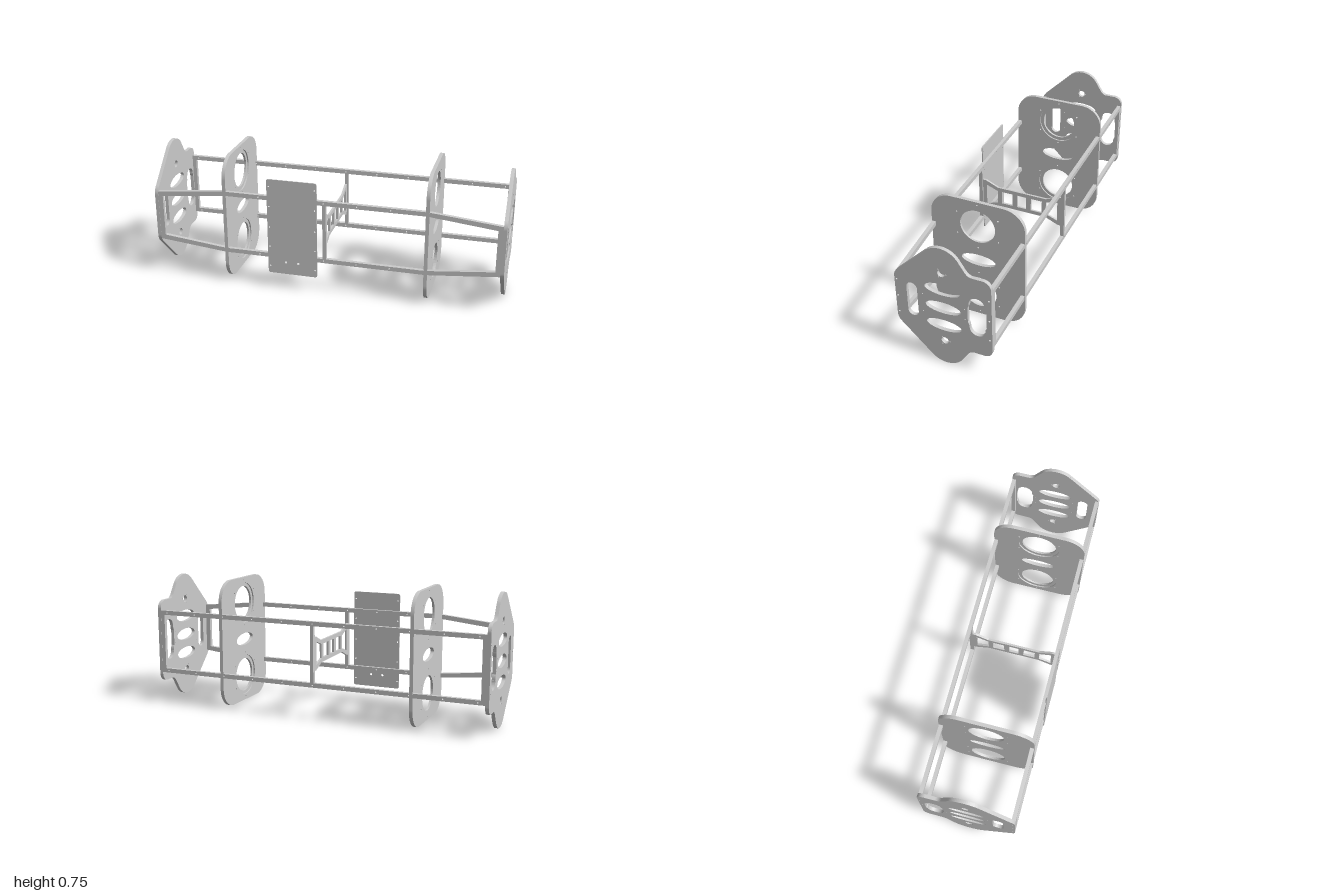
import * as THREE from 'three';

const MID = 0.374, TOP = 0.747, HALF = 0.267;
const mat = new THREE.MeshStandardMaterial({ color: 0xcccccc, side: THREE.DoubleSide });

function ellipse(x, y, rx, ry = rx) {
  const p = new THREE.Path();
  p.absellipse(x, y, rx, ry, 0, Math.PI * 2, true);
  return p;
}

function polygon(points) {
  return new THREE.Path(points.map(([x, y]) => new THREE.Vector2(x, y)));
}

function rect(x0, x1, y0, y1) {
  return polygon([[x0, y0], [x0, y1], [x1, y1], [x1, y0]]);
}

function roundedRect(x0, x1, y0, y1, r, Type = THREE.Shape) {
  const s = new Type(), q = Math.PI / 2;
  s.absarc(x1 - r, y1 - r, r, 0, q);
  s.absarc(x0 + r, y1 - r, r, q, 2 * q);
  s.absarc(x0 + r, y0 + r, r, 2 * q, 3 * q);
  s.absarc(x1 - r, y0 + r, r, 3 * q, 4 * q);
  s.closePath();
  return s;
}

// Takes the upper half of an outline and adds its reflection below mid height
function mirrored(half, Type) {
  const pts = half.getPoints(10);
  const low = pts.map(p => new THREE.Vector2(p.x, 2 * MID - p.y)).reverse();
  return new Type([...pts, ...low]);
}

function extrude(shape, depth) {
  const g = new THREE.ExtrudeGeometry(shape, { depth, bevelEnabled: false, curveSegments: 20 });
  return g.translate(0, 0, -depth / 2);
}

function add(group, name, geometry, x = 0, y = 0, z = 0) {
  const m = new THREE.Mesh(geometry, mat);
  m.name = name;
  m.position.set(x, y, z);
  group.add(m);
  return m;
}

const box = (group, name, w, h, d, x, y, z) =>
  add(group, name, new THREE.BoxGeometry(w, h, d), x, y, z);

// Upright sheet whose shape is drawn with z across and y up
const crossPlate = (group, name, shape, t, x) =>
  add(group, name, extrude(shape, t).rotateY(-Math.PI / 2), x);

function endPlateShape() {
  const h = new THREE.Path();
  h.moveTo(HALF, MID);
  h.lineTo(HALF, 0.5);
  h.quadraticCurveTo(HALF, 0.53, 0.24, 0.553);
  h.lineTo(0.078, 0.715);
  h.absarc(0, 0.637, 0.11, Math.PI / 4, 2.56);
  h.lineTo(-0.125, 0.645);
  h.quadraticCurveTo(-0.142, 0.617, -0.165, 0.617);
  h.lineTo(-0.22, 0.617);
  h.absarc(-0.22, 0.57, 0.047, Math.PI / 2, Math.PI);
  h.lineTo(-HALF, MID);
  const s = mirrored(h, THREE.Shape);
  for (const y of [0.258, MID, 0.49]) s.holes.push(ellipse(0, y, 0.098, 0.035));
  // Round holes with three screw holes each
  for (const y of [0.154, 0.594]) {
    s.holes.push(ellipse(0, y, 0.021));
    for (const [z, dy] of [[0.014, 0.024], [0.014, -0.024], [-0.027, 0]])
      s.holes.push(ellipse(z, y + dy, 0.003));
  }
  // Front slot and stepped rear opening
  s.holes.push(roundedRect(0.142, 0.202, 0.268, 0.481, 0.0299, THREE.Path));
  const w = new THREE.Path();
  w.moveTo(-0.135, MID);
  w.lineTo(-0.135, 0.42);
  w.quadraticCurveTo(-0.143, 0.43, -0.143, 0.45);
  w.absarc(-0.187, 0.452, 0.043, 0, Math.PI);
  w.quadraticCurveTo(-0.23, 0.437, -0.238, 0.43);
  w.lineTo(-0.238, MID);
  s.holes.push(mirrored(w, THREE.Path));
  for (const dy of [-1, 0, 1]) {
    s.holes.push(ellipse(0.255, MID + dy * 0.106, 0.005));
    s.holes.push(ellipse(-0.254, MID + dy * 0.128, 0.005));
  }
  for (const dy of [-0.055, 0.055]) s.holes.push(ellipse(0.113, MID + dy, 0.003));
  for (const dy of [-0.033, 0.033]) s.holes.push(ellipse(-0.12, MID + dy, 0.003));
  return s;
}

function bulkheadShape(r) {
  const s = roundedRect(-HALF, HALF, 0, TOP, 0.12);
  s.holes.push(ellipse(0, MID, 0.1, 0.036));
  for (const y of [0.154, 0.594]) {
    s.holes.push(ellipse(0, y, r));
    for (let i = 0; i < 6; i++) {
      const a = (i + 0.5) * Math.PI / 3;
      s.holes.push(ellipse(0.136 * Math.cos(a), y + 0.136 * Math.sin(a), 0.004));
    }
  }
  for (const y of [0.088, 0.662]) s.holes.push(ellipse(-0.117, y, 0.005));
  return s;
}

// Cross brace: chords flaring at both ends, with windows between uprights
function braceShape() {
  const h = new THREE.Path();
  h.moveTo(0.245, MID);
  h.lineTo(0.245, 0.47);
  h.lineTo(0.225, 0.47);
  h.lineTo(0.15, 0.437);
  h.lineTo(-0.15, 0.437);
  h.lineTo(-0.225, 0.47);
  h.lineTo(-0.245, 0.47);
  h.lineTo(-0.245, MID);
  const s = mirrored(h, THREE.Shape);
  s.holes.push(rect(-0.028, 0.028, 0.334, 0.414));
  for (const k of [-1, 1]) {
    s.holes.push(rect(k * 0.057, k * 0.125, 0.334, 0.414));
    s.holes.push(polygon([[k * 0.15, 0.334], [k * 0.15, 0.414], [k * 0.22, 0.44], [k * 0.22, 0.308]]));
  }
  return s;
}

export function createModel() {
  const g = new THREE.Group();
  g.name = 'frame';

  for (const k of [-1, 1]) {
    const side = k > 0 ? 'left' : 'right';
    crossPlate(g, side + 'EndPlate', endPlateShape(), 0.02, k * 0.99);

    // Bulkhead of two layers, the inner one with the wider bores
    crossPlate(g, side + 'BulkheadOuter', bulkheadShape(0.1), 0.012, k * 0.581);
    crossPlate(g, side + 'BulkheadInner', bulkheadShape(0.12), 0.008, k * 0.571);

    // Tapered front bay: sloping rails and an end upright
    for (const v of [-1, 1]) {
      const bar = new THREE.Shape([[0.585, 0.186], [0.98, 0.147], [0.98, 0.118], [0.955, 0.121], [0.585, 0.161]]
        .map(([x, y]) => new THREE.Vector2(k * x, MID + v * y)));
      add(g, side + 'FrontSlopingRail', extrude(bar, 0.022), 0, 0, 0.255);
    }
    box(g, side + 'FrontEndPost', 0.028, 0.28, 0.022, k * 0.967, MID, 0.255);
    box(g, side + 'BackEndPost', 0.024, 0.33, 0.022, k * 0.969, MID, -0.255);
  }

  // Long rails, drilled along their length
  for (const v of [-1, 1]) {
    for (const [name, z, len] of [['frontRail', 0.255, 0.575], ['backRail', -0.255, 0.98]]) {
      const s = new THREE.Shape();
      s.moveTo(-len, -0.0125);
      s.lineTo(len, -0.0125);
      s.lineTo(len, 0.0125);
      s.lineTo(-len, 0.0125);
      for (let x = -0.94; x < 0.95; x += 0.188)
        if (Math.abs(x) < len - 0.03) s.holes.push(ellipse(x, 0, 0.004));
      add(g, name, extrude(s, 0.022), 0, MID + v * 0.174, z);
    }
  }

  // Centre posts and brace
  box(g, 'frontCentrePost', 0.02, 0.325, 0.022, 0.004, MID, 0.255);
  box(g, 'backCentrePost', 0.02, 0.325, 0.022, 0.004, MID, -0.255);
  crossPlate(g, 'centreBrace', braceShape(), 0.012, 0);

  // Front mounting panel
  const panel = roundedRect(-0.325, -0.037, 0.092, 0.662, 0.012);
  for (const x of [-0.313, -0.049])
    for (const y of [0.135, 0.255, 0.374, 0.5, 0.62]) panel.holes.push(ellipse(x, y, 0.004));
  for (const [x, y] of [[-0.22, 0.165], [-0.148, 0.165]]) panel.holes.push(ellipse(x, y, 0.007));
  add(g, 'mountingPanel', extrude(panel, 0.006), 0, 0, 0.265);
  return g;
}
